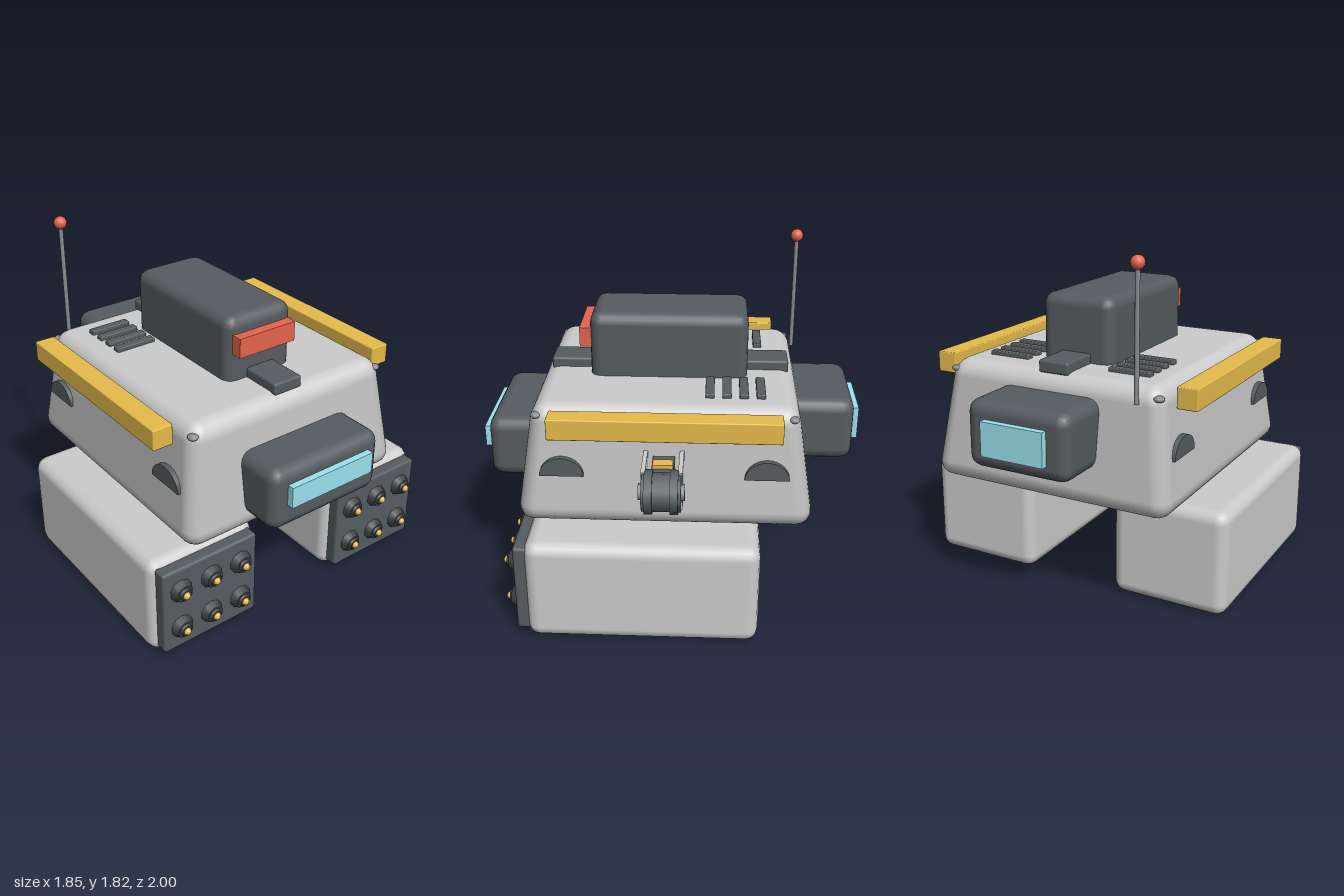
import * as THREE from 'three';
import { RoundedBoxGeometry } from 'three/addons/geometries/RoundedBoxGeometry.js';

const CX = -0.0475; // x of the hull's symmetry plane
const CZ = 0.015;   // z of the hull's middle

const mat = (color) => new THREE.MeshStandardMaterial({ color });
const grey = mat(0xcccccc);
const dark = mat(0x565c60);
const darker = mat(0x3c4145);
const yellow = mat(0xe6bb4c);
const red = mat(0xe5644e);
const glass = mat(0x9be2ee);
const steel = mat(0x8a8d90);

export function createModel() {
  const root = new THREE.Group();

  const add = (name, geometry, material, x, y, z, parent = root) => {
    const mesh = new THREE.Mesh(geometry, material);
    mesh.name = name;
    mesh.position.set(x, y, z);
    parent.add(mesh);
    return mesh;
  };
  // Box given by width, bottom/top and back/front; r > 0 rounds its edges
  const block = (name, material, x, w, y0, y1, z0, z1, r = 0, parent = root) => {
    const h = y1 - y0, d = z1 - z0;
    const g = r ? new RoundedBoxGeometry(w, h, d, 2, r) : new THREE.BoxGeometry(w, h, d);
    return add(name, g, material, x, (y0 + y1) / 2, (z0 + z1) / 2, parent);
  };

  // Hull: rounded box narrowing towards the top
  const hull = new RoundedBoxGeometry(1.37, 0.63, 1.52, 3, 0.09);
  const p = hull.attributes.position;
  for (let i = 0; i < p.count; i++) {
    const k = 1 - 0.125 * (p.getY(i) / 0.63 + 0.5);
    p.setX(i, p.getX(i) * k);
    p.setZ(i, p.getZ(i) * k);
  }
  hull.computeBoundingSphere();
  add('hull', hull, grey, CX, 0.885, CZ);

  // Front and rear sensor pods with windows
  block('frontPod', dark, CX, 0.69, 0.655, 0.995, 0.5, 0.965, 0.065);
  block('frontWindow', glass, CX, 0.515, 0.8, 0.915, 0.94, 1.0);
  block('rearPod', dark, CX, 0.575, 0.765, 1.11, -0.965, -0.5, 0.065);
  block('rearWindow', glass, CX, 0.345, 0.85, 1.025, -1.0, -0.94);

  // Turret on a long base strip, with a visor
  block('turret', dark, CX, 0.41, 1.12, 1.54, -0.4, 0.425, 0.06);
  block('turretStrip', dark, CX, 0.17, 1.185, 1.25, -0.62, 0.645, 0.012);
  block('turretVisor', red, CX, 0.345, 1.35, 1.455, 0.4, 0.48);

  // Antenna
  add('antennaRod', new THREE.CylinderGeometry(0.012, 0.012, 0.66, 10), steel, -0.535, 1.45, -0.675);
  add('antennaTip', new THREE.SphereGeometry(0.035, 14, 10), red, -0.535, 1.78, -0.675);

  // Half-round vent, extruded along x
  const arch = new THREE.Shape();
  arch.absellipse(0, 0, 0.112, 0.1, 0, Math.PI);
  arch.closePath();
  const archGeo = new THREE.ExtrudeGeometry(arch, { depth: 0.1, bevelEnabled: false, curveSegments: 12 });
  archGeo.translate(0, 0, -0.05).rotateY(Math.PI / 2);

  // Rocket parts shared by all tubes
  const collarGeo = new THREE.CylinderGeometry(0.045, 0.066, 0.04, 10).rotateX(Math.PI / 2);
  const noseGeo = new THREE.CylinderGeometry(0.028, 0.042, 0.025, 10).rotateX(Math.PI / 2);
  const tipGeo = new THREE.SphereGeometry(0.02, 10, 8);

  for (const s of [-1, 1]) {
    const side = s > 0 ? 'left' : 'right';

    // Roof rail
    block(side + 'Rail', yellow, CX + s * 0.695, 0.11, 1.09, 1.2, -0.565, 0.58, 0.006);

    // Roof louvres
    for (let i = 0; i < 4; i++) {
      const z = -0.465 + i * 0.086;
      block(side + 'Louvre', dark, CX + s * 0.348, 0.23, 1.18, 1.222, z - 0.023, z + 0.023, 0.006);
    }

    for (const f of [-1, 1]) {
      // Side arches and corner bolts
      add(side + 'Arch', archGeo, dark, CX + s * 0.612, 0.845, CZ + f * 0.515);
      add(side + 'Bolt', new THREE.SphereGeometry(0.028, 10, 8), steel, CX + s * 0.58, 1.145, CZ + f * 0.64)
        .scale.y = 0.6;
    }

    // Leg-like rocket launcher
    const launcher = new THREE.Group();
    launcher.name = side + 'Launcher';
    launcher.position.x = CX + s * 0.5625;
    root.add(launcher);
    block('launcherBox', grey, 0, 0.63, 0, 0.56, -0.475, 0.715, 0.065, launcher);
    block('launcherFace', dark, 0, 0.565, 0.04, 0.525, 0.66, 0.77, 0.015, launcher);
    for (const x of [-0.18, 0, 0.18]) {
      for (const y of [0.17, 0.395]) {
        add('rocketCollar', collarGeo, darker, x, y, 0.785, launcher);
        add('rocketNose', noseGeo, darker, x, y, 0.805, launcher);
        add('rocketTip', tipGeo, yellow, x, y, 0.817, launcher);
      }
    }
  }

  // Winch arm on the left side: fork plates, drum, pin and hook
  const arm = new THREE.Group();
  arm.name = 'winchArm';
  arm.position.set(0.815, 0.885, CZ);
  root.add(arm);
  const zCylinder = (name, r, length, material, sides) =>
    add(name, new THREE.CylinderGeometry(r, r, length, sides).rotateX(Math.PI / 2), material, 0, 0, 0, arm);
  zCylinder('drum', 0.095, 0.19, dark, 12);
  for (const f of [-1, 1]) {
    block('forkPlate', grey, -0.12, 0.23, -0.1, 0.1, f * 0.09 - 0.011, f * 0.09 + 0.011, 0, arm);
    const flange = zCylinder('drumFlange', 0.108, 0.04, dark, 12);
    flange.position.z = f * 0.062;
  }
  zCylinder('pin', 0.04, 0.225, steel, 12);
  block('armLink', dark, -0.13, 0.2, -0.07, 0.07, -0.055, 0.055, 0, arm);
  block('armLatch', yellow, -0.13, 0.06, 0.06, 0.09, -0.05, 0.05, 0, arm);
  add('hook', new THREE.TorusGeometry(0.018, 0.006, 6, 12).rotateY(Math.PI / 2), steel, -0.185, -0.105, 0, arm);

  return root;
}
